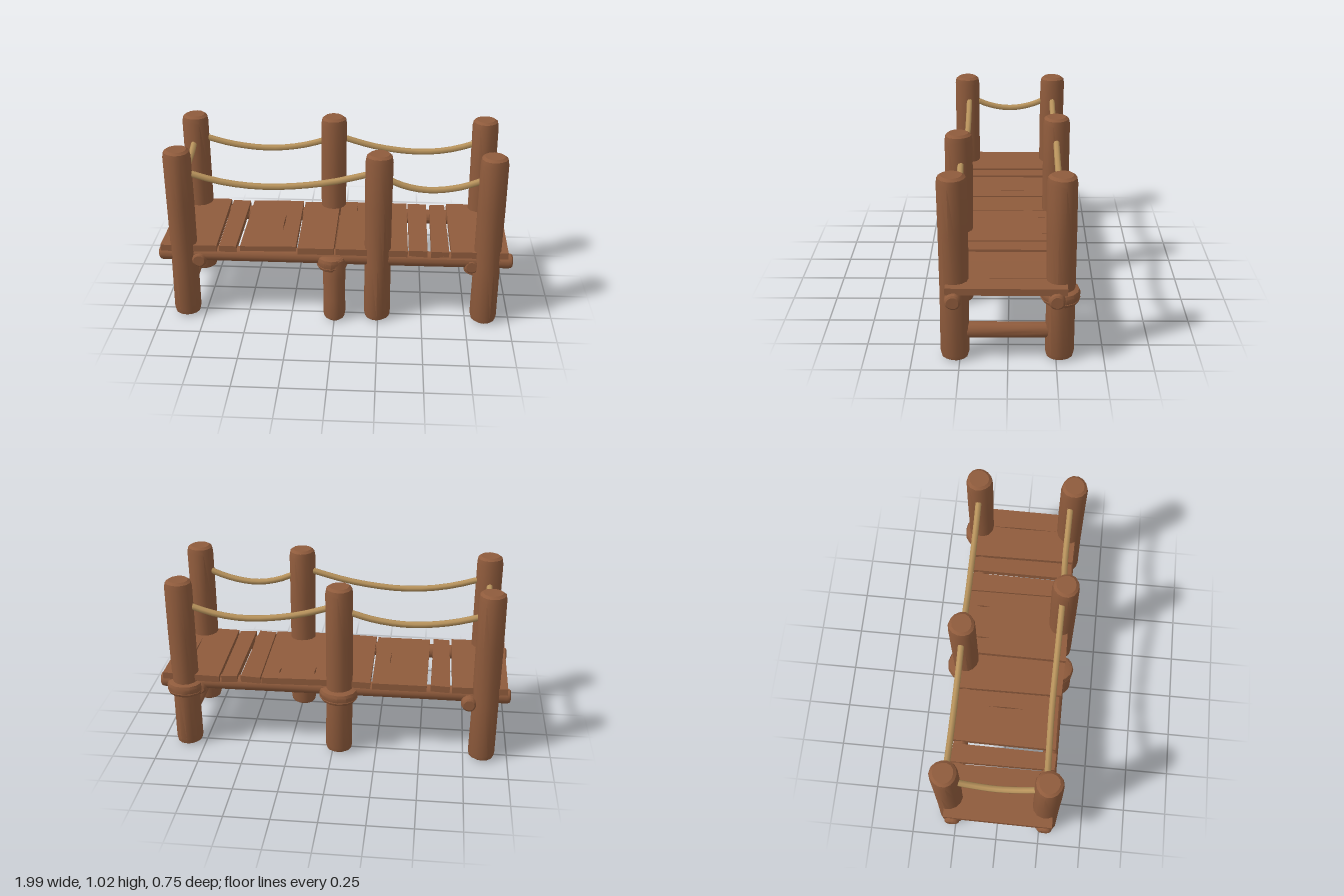
import * as THREE from 'three';
import { toCreasedNormals } from 'three/addons/utils/BufferGeometryUtils.js';

const wood = new THREE.MeshStandardMaterial({ color: 0x8f5b3c });
wood.name = 'brown wood';
const rope = new THREE.MeshStandardMaterial({ color: 0xb8935c });
rope.name = 'tan rope';

// Turned log standing on y = 0 with chamfered ends and a slightly uneven girth
function logGeometry(r, h, seed = 0, bevel = 0.02) {
  const profile = [
    [0, 0], [r * 0.7, 0], [r * 0.92, bevel * 0.6], [r, bevel * 1.8], [r * 0.98, h * 0.35],
    [r, h * 0.7], [r, h - bevel * 2], [r * 0.93, h - bevel * 0.6], [r * 0.72, h], [0, h],
  ].map(([x, y]) => new THREE.Vector2(x, y));
  const g = new THREE.LatheGeometry(profile, 14);
  const p = g.attributes.position;
  for (let i = 0; i < p.count; i++) {
    const a = Math.atan2(p.getZ(i), p.getX(i));
    const k = 1 + 0.03 * Math.cos(3 * a + seed + p.getY(i) * 4);
    p.setX(i, p.getX(i) * k);
    p.setZ(i, p.getZ(i) * k);
  }
  return toCreasedNormals(g, 0.6);
}

export function createModel() {
  const model = new THREE.Group();
  model.name = 'dock';
  const add = (name, geometry, material, x = 0, y = 0, z = 0) => {
    const m = new THREE.Mesh(geometry, material);
    m.name = name;
    m.position.set(x, y, z);
    model.add(m);
    return m;
  };

  // Tall mooring posts
  const posts = [
    [-0.855, -0.27], [-0.035, -0.268], [0.85, -0.268],
    [-0.857, 0.275], [0.243, 0.275], [0.855, 0.275],
  ];
  posts.forEach(([x, z], i) => add('post', logGeometry(0.076, 1.018, i * 1.7), wood, x, 0, z));

  // Short support post with a swollen head under the front edge
  add('shortPost', logGeometry(0.064, 0.4, 2), wood, 0, 0, 0.298);
  add('shortPostHead', logGeometry(0.09, 0.085, 1, 0.015), wood, -0.015, 0.318, 0.276);

  // Collars round the back posts
  [[-0.035, -0.268, 0.11], [0.85, -0.27, 0.103]].forEach(([x, z, r], i) =>
    add('collar', logGeometry(r, 0.08, i, 0.014), wood, x, 0.325, z));

  // Long side beams
  [[0.275, 0.385], [-0.247, 0.388]].forEach(([z, y], i) => {
    const g = logGeometry(0.043, 1.99, i, 0.012).rotateZ(-Math.PI / 2);
    add('sideBeam', g, wood, -0.995, y, z);
  });

  // Beams across, under the deck
  [[-0.765, -0.335, 0.33], [-0.02, -0.28, 0.3], [0.77, -0.3, 0.32]].forEach(([x, z0, z1], i) => {
    const g = logGeometry(0.043, z1 - z0, i * 2, 0.012).rotateX(Math.PI / 2);
    add('crossBeam', g, wood, x, 0.36, z0);
  });

  // Low braces between opposite posts
  [-0.856, -0.018, 0.853].forEach((x, i) => {
    const g = logGeometry(0.042, 0.54, i, 0.012).rotateX(Math.PI / 2);
    add('lowBrace', g, wood, x, 0.156, -0.265);
  });

  // Deck planks: x start, x end, back z, front z, top y, tilt, cracks [x, z0, z1]
  const planks = [
    [-0.98, -0.668, -0.298, 0.318, 0.452, 0, []],
    [-0.65, -0.548, -0.285, 0.305, 0.449, 0.03, []],
    [-0.532, -0.222, -0.297, 0.302, 0.449, 0.01, [[-0.31, -0.11, 0.1]]],
    [-0.206, 0.002, -0.285, 0.31, 0.45, 0.02, []],
    [0.007, 0.405, -0.295, 0.318, 0.452, -0.01, [[0.11, -0.24, -0.14], [0.31, -0.24, -0.16]]],
    [0.418, 0.525, -0.288, 0.305, 0.45, 0.03, []],
    [0.54, 0.635, -0.294, 0.31, 0.447, -0.03, []],
    [0.652, 0.972, -0.3, 0.31, 0.452, 0.015, [[0.85, -0.25, 0.2]]],
  ];
  planks.forEach(([x0, x1, z0, z1, top, tilt, cracks], i) => {
    const cx = (x0 + x1) / 2, s = 0.005 * (i % 2 ? 1 : -1);
    const outline = () => new THREE.Shape([
      [x0 - cx, -z1], [x1 - cx - s, -z1 - s], [x1 - cx, -z0], [x0 - cx - s, -z0 + s],
    ].map(([x, y]) => new THREE.Vector2(x, y)));
    const face = outline();
    for (const [x, a, b] of cracks) {
      const m = (a + b) / 2;
      face.holes.push(new THREE.Path([[x, -a], [x + 0.004, -m], [x, -b], [x - 0.004, -m]]
        .map(([u, v]) => new THREE.Vector2(u - cx, v))));
    }
    const slab = (shape, depth) =>
      new THREE.ExtrudeGeometry(shape, { depth, bevelEnabled: false }).rotateX(-Math.PI / 2);
    add('plankBase', slab(outline(), 0.013), wood, cx, top - 0.038, 0).rotation.z = tilt;
    add('plankTop', slab(face, 0.025), wood, cx, top - 0.025, 0).rotation.z = tilt;
  });

  // Sagging ropes: start, lowest point, end
  const ropes = [
    [[-0.86, 0.89, 0.262], [-0.38, 0.798, 0.255], [0.243, 0.905, 0.262]],
    [[0.243, 0.885, 0.262], [0.52, 0.802, 0.257], [0.855, 0.89, 0.262]],
    [[-0.855, 0.89, -0.27], [-0.42, 0.81, -0.272], [-0.035, 0.885, -0.27]],
    [[-0.035, 0.905, -0.268], [0.48, 0.805, -0.272], [0.85, 0.885, -0.27]],
    [[-0.86, 0.885, 0.275], [-0.865, 0.803, 0.005], [-0.86, 0.885, -0.27]],
  ];
  for (const [a, m, b] of ropes) {
    const lerp = (p, q, t, lift) => [0, 1, 2].map(
      (k) => p[k] + (q[k] - p[k]) * (k === 1 ? lift : t));
    const pts = [a, lerp(a, m, 0.5, 0.73), m, lerp(m, b, 0.5, 0.27), b];
    const curve = new THREE.CatmullRomCurve3(pts.map((p) => new THREE.Vector3(...p)));
    add('rope', new THREE.TubeGeometry(curve, 14, 0.018, 7), rope);
  }
  return model;
}
